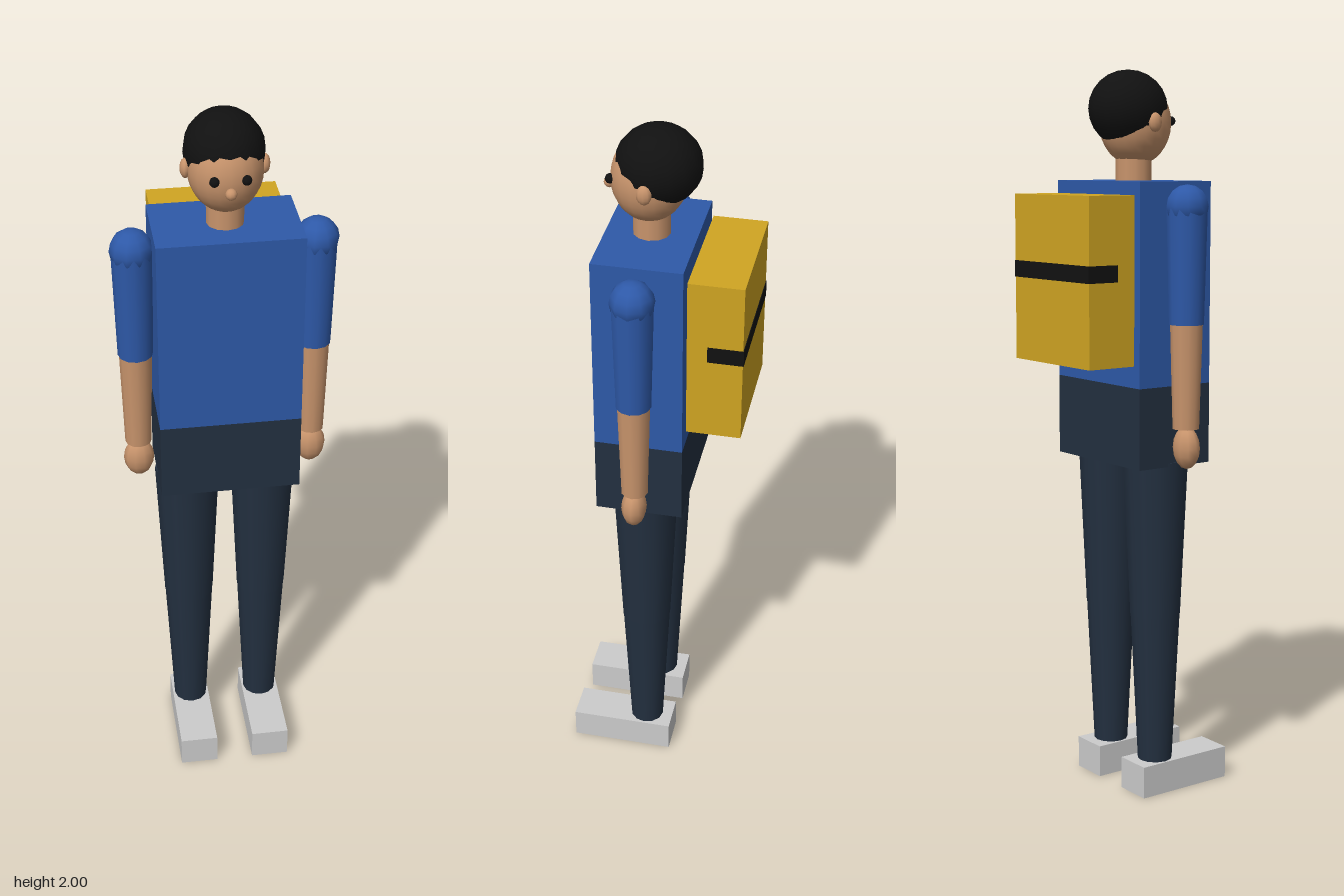
import * as THREE from 'three';

const material = (name, color) => {
  const m = new THREE.MeshStandardMaterial({ color });
  m.name = name;
  return m;
};

export function createModel() {
  const shirt = material('shirt blue', 0x2e59a8);
  const trousers = material('trouser navy', 0x233040);
  const skin = material('skin', 0xc8946c);
  const black = material('black', 0x111111);
  const canvas = material('pack yellow', 0xd0a522);
  const shoe = material('shoe grey', 0xcccccc);

  const model = new THREE.Group();
  model.name = 'standingFigure';

  const add = (name, geometry, mat, x, y, z) => {
    const mesh = new THREE.Mesh(geometry, mat);
    mesh.name = name;
    mesh.position.set(x, y, z);
    model.add(mesh);
    return mesh;
  };
  // Box given by its lower and upper corners
  const box = (name, mat, [x0, y0, z0], [x1, y1, z1]) =>
    add(name, new THREE.BoxGeometry(x1 - x0, y1 - y0, z1 - z0), mat,
      (x0 + x1) / 2, (y0 + y1) / 2, (z0 + z1) / 2);
  const ball = (name, mat, x, y, z, rx, ry = rx, rz = rx, segments = 10) =>
    add(name, new THREE.SphereGeometry(1, segments, Math.max(8, segments - 4)), mat, x, y, z)
      .scale.set(rx, ry, rz);
  // Tapered limb between two heights
  const limb = (name, mat, x, z, y0, y1, rBottom, rTop) =>
    add(name, new THREE.CylinderGeometry(rTop, rBottom, y1 - y0, 12), mat, x, (y0 + y1) / 2, z);

  // Body
  box('torso', shirt, [-0.19, 1.16, -0.09], [0.19, 1.705, 0.147]);
  box('hips', trousers, [-0.19, 0.94, -0.09], [0.19, 1.16, 0.147]);
  limb('neck', skin, 0, 0.03, 1.69, 1.78, 0.049, 0.049);

  // Head
  ball('head', skin, 0, 1.86, 0.035, 0.097, 0.115, 0.099, 20);
  ball('hair', black, 0, 1.897, 0.011, 0.104, 0.104, 0.112, 16);
  ball('nose', skin, 0, 1.835, 0.138, 0.015);

  // Paired parts
  for (const [side, s] of [['left', 1], ['right', -1]]) {
    ball(side + 'Eye', black, s * 0.04, 1.865, 0.127, 0.013);
    ball(side + 'Ear', skin, s * 0.1, 1.86, 0.028, 0.014, 0.026, 0.02);

    ball(side + 'Shoulder', shirt, s * 0.24, 1.64, 0.028, 0.058);
    limb(side + 'Sleeve', shirt, s * 0.239, 0.028, 1.33, 1.64, 0.047, 0.055);
    limb(side + 'Forearm', skin, s * 0.239, 0.028, 1.05, 1.335, 0.036, 0.044);
    ball(side + 'Hand', skin, s * 0.239, 0.998, 0.03, 0.042, 0.058, 0.034);

    limb(side + 'Thigh', trousers, s * 0.106, 0.028, 0.51, 0.95, 0.07, 0.09);
    limb(side + 'Shin', trousers, s * 0.106, 0.028, 0.085, 0.51, 0.048, 0.069);
    box(side + 'Shoe', shoe, [s * 0.1065 - 0.0535, 0, -0.05], [s * 0.1065 + 0.0535, 0.09, 0.242]);
  }

  // Backpack with a dark band round the back
  box('backpack', canvas, [-0.175, 1.22, -0.242], [0.175, 1.67, -0.097]);
  box('backpackBand', black, [-0.1755, 1.445, -0.244], [0.1755, 1.49, -0.15]);

  return model;
}
